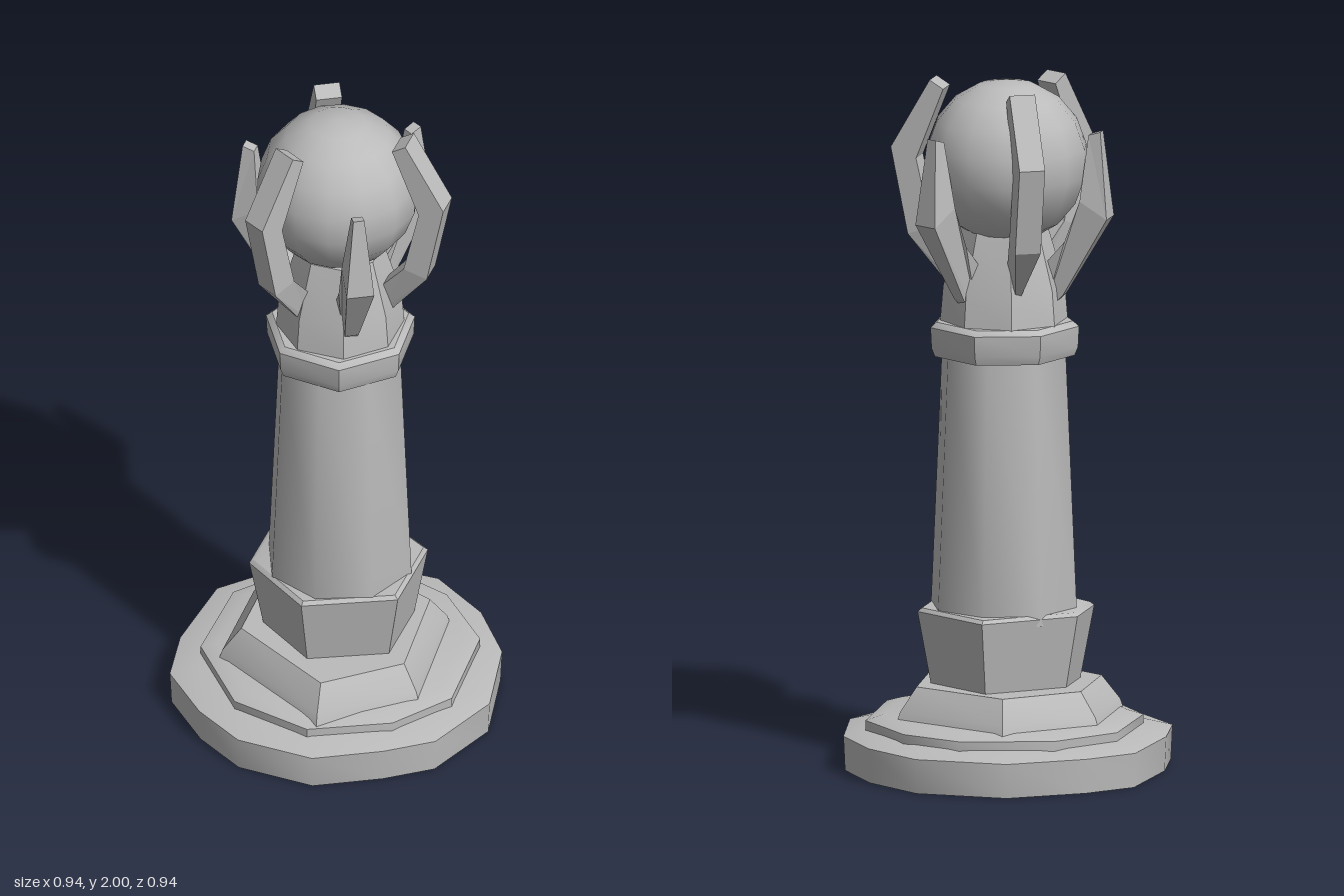
import * as THREE from 'three';
import { toCreasedNormals } from 'three/addons/utils/BufferGeometryUtils.js';

// Stack scaled copies of one footprint [[x, z], ...] at levels [[y, scale], ...] and cap both ends
function loft(foot, levels, crease = 0.7) {
  const n = foot.length, pos = [];
  const at = (k, i) => {
    const [y, s] = levels[k], [x, z] = foot[i % n];
    return [x * s, y, z * s];
  };
  const tri = (a, b, c) => pos.push(...a, ...b, ...c);
  const last = levels.length - 1;
  for (let i = 0; i < n; i++) {
    for (let k = 0; k < last; k++) {
      tri(at(k, i), at(k + 1, i), at(k + 1, i + 1));
      tri(at(k, i), at(k + 1, i + 1), at(k, i + 1));
    }
    tri([0, levels[0][0], 0], at(0, i), at(0, i + 1));
    tri([0, levels[last][0], 0], at(last, i + 1), at(last, i));
  }
  const geo = new THREE.BufferGeometry();
  geo.setAttribute('position', new THREE.Float32BufferAttribute(pos, 3));
  return toCreasedNormals(geo, crease);
}

// Unit polygon footprint
function polygon(sides, turn = 0) {
  return Array.from({ length: sides }, (_, i) => {
    const a = turn + (i / sides) * Math.PI * 2;
    return [Math.cos(a), Math.sin(a)];
  });
}

// Claw: a profile of [radius, height], given thickness and pinched by height
function claw(profile, width, pinch) {
  const shape = new THREE.Shape(profile.map(([r, y]) => new THREE.Vector2(r, y)));
  const geo = new THREE.ExtrudeGeometry(shape, { depth: width, bevelEnabled: false });
  geo.translate(0, 0, -width / 2);
  const p = geo.attributes.position;
  for (let i = 0; i < p.count; i++) p.setZ(i, p.getZ(i) * pinch(p.getY(i)));
  geo.computeVertexNormals();
  return geo;
}

export function createModel() {
  const group = new THREE.Group();
  const stone = new THREE.MeshStandardMaterial({ color: 0xbbbbbb });
  stone.name = 'grey stone';
  const add = (name, geo) => {
    const mesh = new THREE.Mesh(geo, stone);
    mesh.name = name;
    group.add(mesh);
    return mesh;
  };

  // Rough-cut stepped base
  add('baseSlab', loft([
    [-0.14, -0.475], [0.13, -0.475], [0.30, -0.36], [0.42, -0.20], [0.47, 0.05], [0.385, 0.275],
    [0.26, 0.37], [0.08, 0.47], [-0.15, 0.455], [-0.30, 0.36], [-0.44, 0.215], [-0.47, 0.04],
    [-0.45, -0.22], [-0.34, -0.34],
  ], [[0, 0.99], [0.1, 1], [0.12, 0.84]]));
  add('baseStep', loft([
    [-0.24, -0.335], [0.02, -0.41], [0.2, -0.35], [0.36, -0.18], [0.38, 0.12],
    [0.26, 0.29], [0.04, 0.40], [-0.2, 0.34], [-0.38, 0.12], [-0.38, -0.16],
  ], [[0.1, 1], [0.145, 1], [0.16, 0.88]]));
  add('basePlinth', loft([
    [-0.31, -0.14], [-0.09, -0.34], [0.25, -0.21], [0.29, 0.17], [0.06, 0.37], [-0.3, 0.16],
  ], [[0.14, 1.04], [0.18, 1], [0.25, 0.84]]));

  // Flared collar, tapering shaft, ring and neck
  add('lowerCollar', loft([
    [-0.01, -0.27], [0.22, -0.13], [0.22, 0.13], [-0.03, 0.25], [-0.24, 0.10], [-0.24, -0.08],
  ], [[0.24, 0.84], [0.46, 1], [0.47, 0.95]]));
  add('shaft', loft(polygon(8), [[0.44, 0.217], [1.22, 0.183]], 1));
  add('upperRing', loft(polygon(7, 0.35), [[1.2, 0.205], [1.225, 0.215], [1.285, 0.218], [1.3, 0.2]]));
  add('neck', loft(polygon(8, Math.PI / 8), [[1.28, 0.185], [1.4, 0.175], [1.57, 0.125]]));

  // Orb held by the claws
  const orb = add('orb', new THREE.SphereGeometry(0.235, 14, 9));
  orb.position.set(-0.012, 1.765, -0.015);

  // Alternating tall and short claws
  const tall = claw([
    [0.13, 1.38], [0.16, 1.39], [0.275, 1.54], [0.325, 1.79], [0.21, 1.99], [0.17, 1.965],
    [0.25, 1.76], [0.205, 1.56], [0.12, 1.46],
  ], 0.075, (y) => THREE.MathUtils.clamp((y - 1.36) / 0.17, 0.2, 1));
  const short = claw([
    [0.12, 1.32], [0.18, 1.38], [0.315, 1.61], [0.29, 1.86], [0.255, 1.85],
    [0.235, 1.66], [0.19, 1.54], [0.12, 1.46],
  ], 0.08, (y) => (y > 1.7 ? 0.4 : THREE.MathUtils.clamp((y - 1.28) / 0.2, 0.4, 1)));
  for (let i = 0; i < 6; i++) {
    const isTall = i % 2 === 0;
    const mesh = add(isTall ? 'tallClaw' : 'shortClaw', isTall ? tall : short);
    mesh.rotation.y = -i * Math.PI / 3;
  }
  return group;
}
